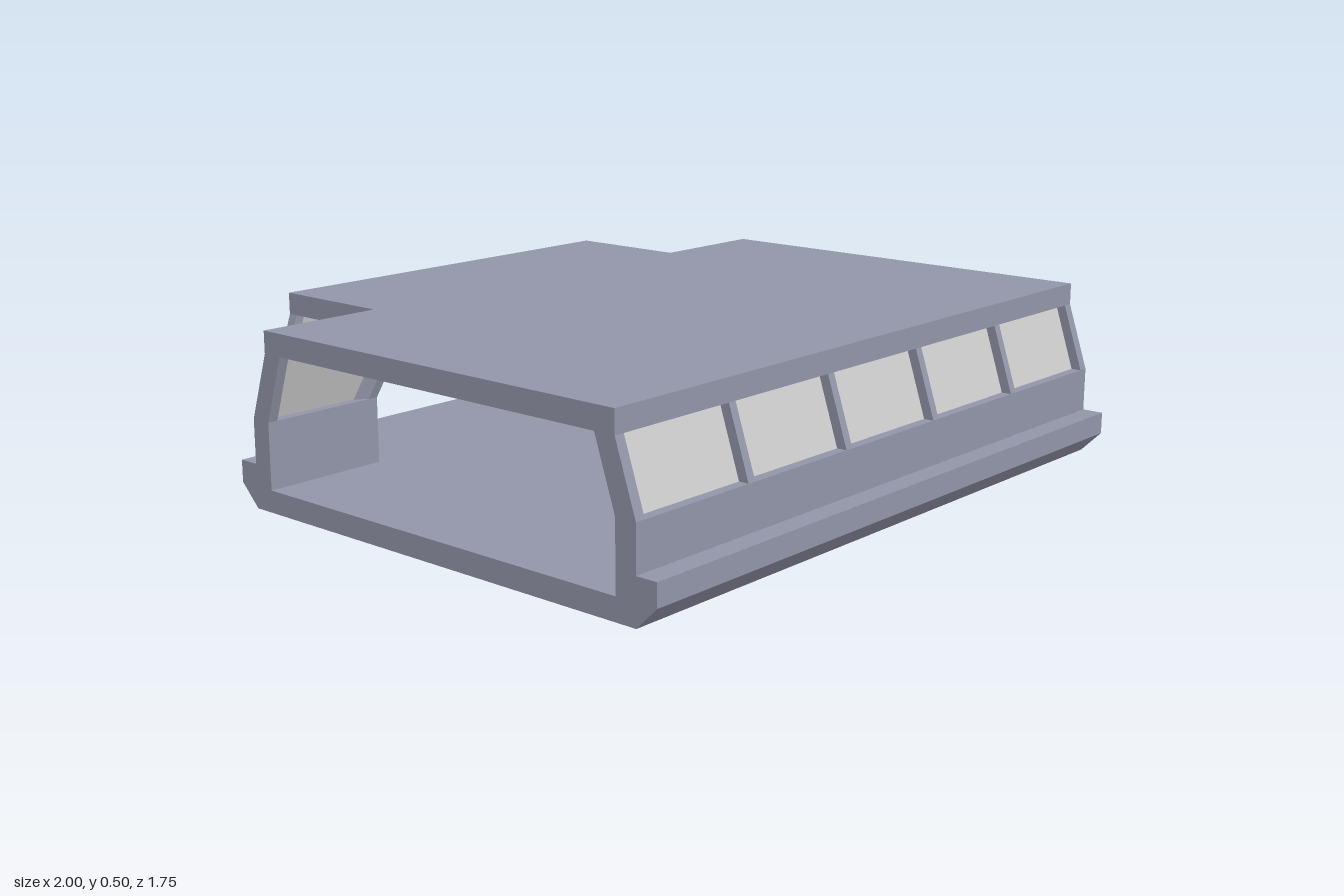
import * as THREE from 'three';

const hull = new THREE.MeshStandardMaterial({ color: 0x9295a8, flatShading: true });
const glass = new THREE.MeshStandardMaterial({ color: 0xcccccc, flatShading: true, side: THREE.DoubleSide });

// Wall cross-sections as [outward offset, height]
const BASE = [[0, 0], [0.0625, 0], [0.125, 0.0625], [0.125, 0.125], [0.0625, 0.125], [0.0625, 0.25], [0, 0.25]];
const POST = [[0, 0.25], [0.0625, 0.25], [0, 0.4375], [-0.0625, 0.4375]];
const PANE = [[0.029, 0.25], [0.033, 0.25], [-0.029, 0.4375], [-0.033, 0.4375]];

const shapeOf = (pts) => new THREE.Shape(pts.map(([x, y]) => new THREE.Vector2(x, y)));

// Sweeps a profile along a wall; from(d) and to(d) give its ends, so corners can be mitred
function sweep(profile, from, to, place, flip) {
  const geo = new THREE.ExtrudeGeometry(shapeOf(profile), { depth: 1, bevelEnabled: false });
  const p = geo.attributes.position;
  const verts = [];
  for (let i = 0; i < p.count; i++) {
    const d = p.getX(i);
    verts.push(place(d, p.getY(i), THREE.MathUtils.lerp(from(d), to(d), p.getZ(i))));
  }
  for (let i = 0; i < p.count; i += 3) {
    if (flip) [verts[i + 1], verts[i + 2]] = [verts[i + 2], verts[i + 1]];
  }
  verts.forEach((v, i) => p.setXYZ(i, ...v));
  geo.deleteAttribute('uv');
  geo.computeVertexNormals();
  return geo;
}

// One wall: base with ledge, posts and recessed panes
function makeWall({ name, start, end, mitre, panes, place, flip }) {
  const wall = new THREE.Group();
  wall.name = name;
  const at = (s) => (d) => s + (mitre ? d : 0);
  const stop = () => end;
  const add = (part, profile, from, to, material) => {
    const mesh = new THREE.Mesh(sweep(profile, from, to, place, flip), material);
    mesh.name = part;
    wall.add(mesh);
  };
  const edge = 0.03, gap = 0.025;
  const width = (end - start - 2 * edge - (panes - 1) * gap) / panes;

  add('wallBase', BASE, at(start), stop, hull);
  add('startPost', POST, at(start), at(start + edge), hull);
  add('endPost', POST, () => end - edge, stop, hull);
  for (let i = 0; i < panes; i++) {
    const a = start + edge + i * (width + gap);
    const b = a + width;
    add('windowPane', PANE, i === 0 ? at(a) : () => a, () => b, glass);
    if (i < panes - 1) add('windowPost', POST, () => b, () => b + gap, hull);
  }
  return wall;
}

// T-shaped slab shared by floor and roof
function makeSlab(name, y) {
  const outline = [[-1, -0.75], [1, -0.75], [1, 0.5], [0.625, 0.5], [0.625, 0.875],
    [-0.625, 0.875], [-0.625, 0.5], [-1, 0.5]];
  const geo = new THREE.ExtrudeGeometry(shapeOf(outline), { depth: 0.0625, bevelEnabled: false });
  geo.rotateX(-Math.PI / 2);
  const mesh = new THREE.Mesh(geo, hull);
  mesh.name = name;
  mesh.position.y = y;
  return mesh;
}

export function createModel() {
  const model = new THREE.Group();
  model.name = 'corridorJunction';
  model.add(makeSlab('floor', 0), makeSlab('roof', 0.4375));

  // Long front wall
  model.add(makeWall({
    name: 'frontWall', start: -1, end: 1, mitre: false, panes: 5,
    place: (d, y, s) => [s, y, 0.75 + d], flip: true,
  }));

  // Rear walls and branch walls, mitred where they meet
  for (const side of [1, -1]) {
    const label = side > 0 ? 'left' : 'right';
    model.add(makeWall({
      name: label + 'RearWall', start: 0.625, end: 1, mitre: true, panes: 1,
      place: (d, y, s) => [side * s, y, -0.5 - d], flip: side < 0,
    }));
    model.add(makeWall({
      name: label + 'BranchWall', start: 0.5, end: 0.875, mitre: true, panes: 1,
      place: (d, y, s) => [side * (0.625 + d), y, -s], flip: side > 0,
    }));
  }
  return model;
}
